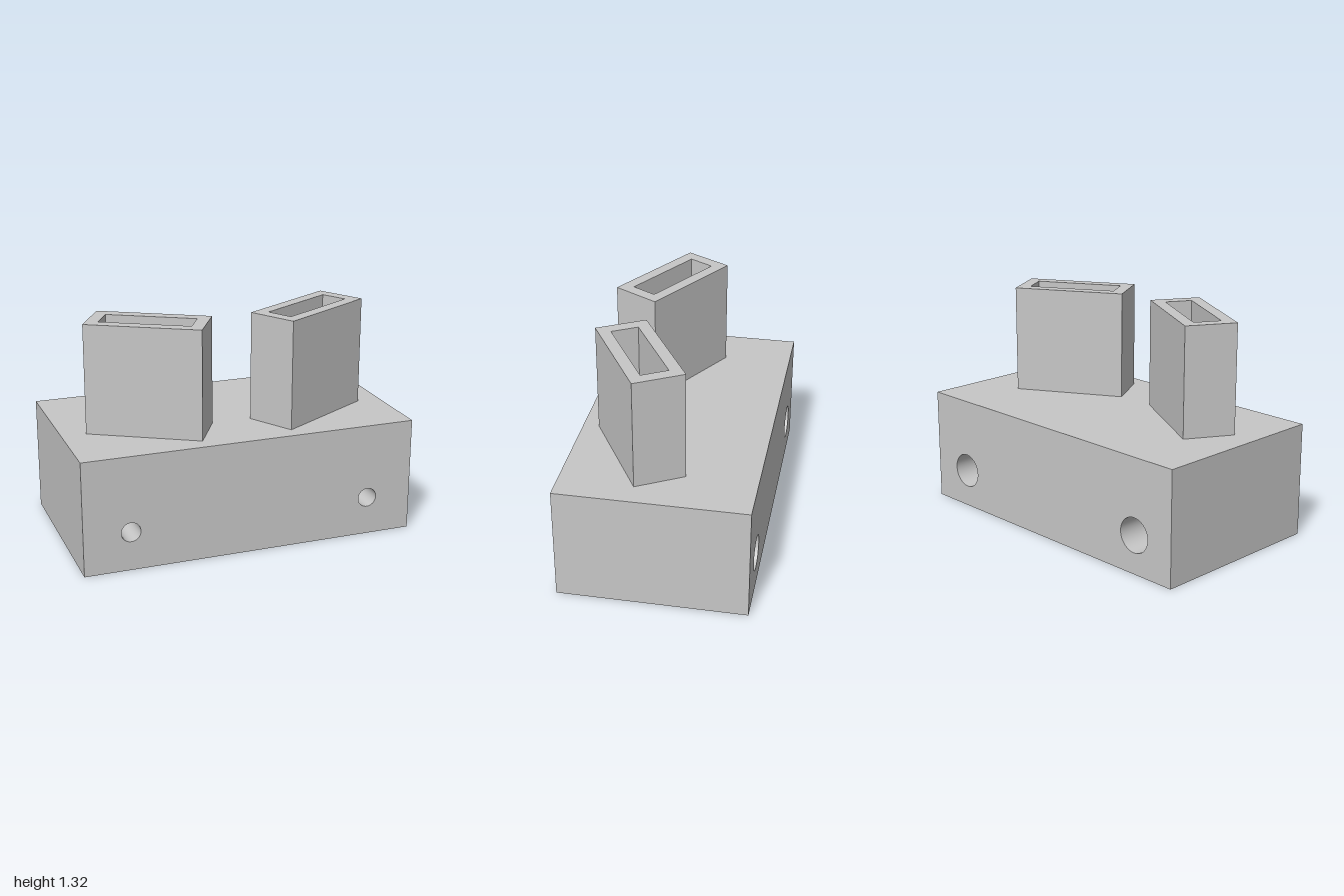
import * as THREE from 'three';

const W = 2, H = 0.68, D = 1.1;            // base block
const BORE_X = 0.725, BORE_Y = 0.23;       // bore centres
const R_FRONT = 0.057, R_BACK = 0.103, STEP_Z = 0.2;

function rectPath(PathType, w, h) {
  return new PathType([
    new THREE.Vector2(-w / 2, -h / 2), new THREE.Vector2(w / 2, -h / 2),
    new THREE.Vector2(w / 2, h / 2), new THREE.Vector2(-w / 2, h / 2),
  ]);
}

export function createModel() {
  const group = new THREE.Group();
  const grey = new THREE.MeshStandardMaterial({ color: 0xc6c6c6 });
  grey.name = 'lightGrey';

  const add = (name, geometry, parent = group) => {
    const mesh = new THREE.Mesh(geometry, grey);
    mesh.name = name;
    parent.add(mesh);
    return mesh;
  };

  const base = new THREE.Group();
  base.name = 'baseBlock';
  group.add(base);

  // Sides, top and bottom: a box without its front and back faces
  const shell = new THREE.BoxGeometry(W, H, D);
  shell.setIndex(Array.from(shell.index.array).slice(0, 24));
  shell.clearGroups();
  add('baseSides', shell, base).position.y = H / 2;

  // Front and back faces, pierced by the bores
  const drilledFace = (r) => {
    const shape = rectPath(THREE.Shape, W, H);
    for (const s of [-1, 1]) {
      const hole = new THREE.Path();
      hole.absarc(s * BORE_X, BORE_Y - H / 2, r, 0, Math.PI * 2, true);
      shape.holes.push(hole);
    }
    return new THREE.ShapeGeometry(shape, 24);
  };
  add('baseFront', drilledFace(R_FRONT), base).position.set(0, H / 2, D / 2);
  const back = add('baseBack', drilledFace(R_BACK), base);
  back.position.set(0, H / 2, -D / 2);
  back.rotation.y = Math.PI;

  // Stepped bores: narrow at the front, wide at the back
  const profile = [[R_FRONT, D / 2], [R_FRONT, STEP_Z], [R_BACK, STEP_Z], [R_BACK, -D / 2]]
    .map(([r, z]) => new THREE.Vector2(r, z));
  for (const s of [-1, 1]) {
    for (let i = 0; i < 3; i++) {
      const wall = new THREE.LatheGeometry([profile[i], profile[i + 1]], 48);
      wall.rotateX(Math.PI / 2);
      add(['narrowBore', 'boreStep', 'wideBore'][i], wall, base).position.set(s * BORE_X, BORE_Y, 0);
    }
  }

  // Two hollow rectangular sockets, turned 30 degrees each way
  const socketShape = rectPath(THREE.Shape, 0.676, 0.303);
  socketShape.holes.push(rectPath(THREE.Path, 0.532, 0.161));
  const socket = new THREE.ExtrudeGeometry(socketShape, { depth: 0.645, bevelEnabled: false });
  socket.rotateX(-Math.PI / 2);
  for (const [name, s] of [['leftSocket', 1], ['rightSocket', -1]]) {
    const mesh = add(name, socket);
    mesh.position.set(s * 0.487, H, 0.157);
    mesh.rotation.y = s * Math.PI / 6;
  }

  return group;
}
